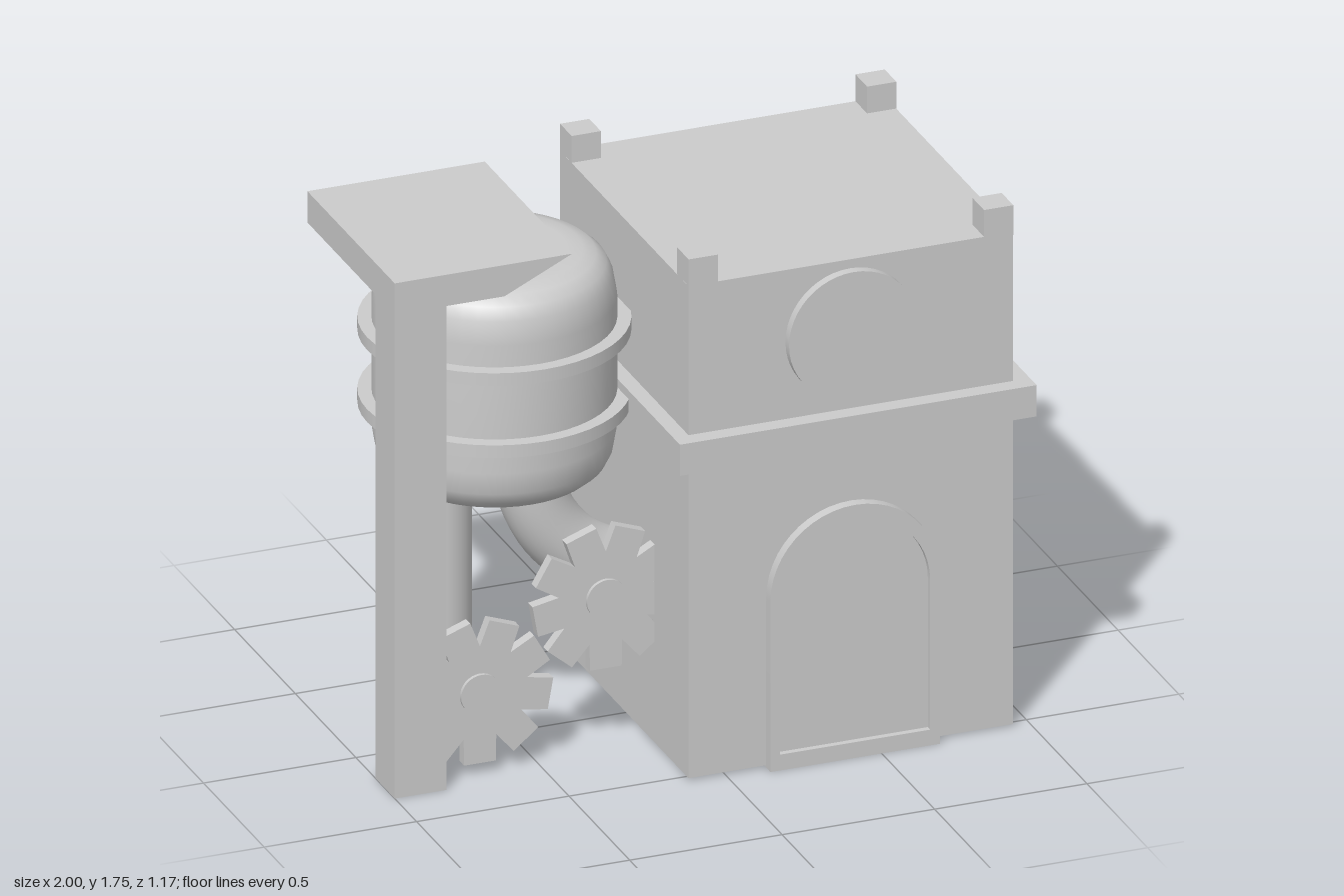
import * as THREE from 'three';
import { toCreasedNormals } from 'three/addons/utils/BufferGeometryUtils.js';

export function createModel() {
  const model = new THREE.Group();
  model.name = 'boilerTower';
  const grey = new THREE.MeshStandardMaterial({ color: 0xcccccc });
  grey.name = 'plainGrey';

  const add = (name, geometry, x = 0, y = 0, z = 0, parent = model) => {
    const mesh = new THREE.Mesh(geometry, grey);
    mesh.name = name;
    mesh.position.set(x, y, z);
    parent.add(mesh);
    return mesh;
  };
  // Box given by its minimum and maximum corners
  const box = (name, [x0, y0, z0], [x1, y1, z1]) =>
    add(name, new THREE.BoxGeometry(x1 - x0, y1 - y0, z1 - z0), (x0 + x1) / 2, (y0 + y1) / 2, (z0 + z1) / 2);
  const extrude = (shape, depth) =>
    toCreasedNormals(new THREE.ExtrudeGeometry(shape, { depth, bevelEnabled: false, curveSegments: 12 }), 0.6);
  const polygon = (points) => new THREE.Shape(points.map(([x, y]) => new THREE.Vector2(x, y)));

  // Tower with its band and corner blocks
  const cx = 0.413;
  box('towerBody', [-0.12, 0.008, -0.53], [0.945, 1.66, 0.53]);
  box('towerBand', [-0.17, 1.055, -0.585], [1, 1.16, 0.585]);
  for (const sx of [-1, 1]) for (const sz of [-1, 1]) {
    add('cornerBlock', new THREE.BoxGeometry(0.096, 0.1, 0.096), cx + sx * 0.4845, 1.7, sz * 0.482);
  }

  // Round plate above the door
  add('roundPlate', new THREE.CylinderGeometry(0.212, 0.212, 0.06, 48).rotateX(Math.PI / 2), 0.41, 1.418, 0.53);

  // Arched door: raised frame around a recessed panel
  const arch = (Type, half, bottom, spring) => {
    const s = new Type();
    s.moveTo(-half, bottom);
    s.lineTo(half, bottom);
    s.lineTo(half, spring);
    s.absarc(0, spring, half, 0, Math.PI, false);
    s.lineTo(-half, bottom);
    return s;
  };
  const frame = arch(THREE.Shape, 0.278, 0, 0.572);
  frame.holes.push(arch(THREE.Path, 0.246, 0.053, 0.555));
  add('doorFrame', extrude(frame, 0.135), cx, 0, 0.43);
  add('doorPanel', extrude(arch(THREE.Shape, 0.25, 0.002, 0.56), 0.115), cx, 0, 0.43);

  // Boiler, axis shared by its hoops and the lower pipe
  const bx = -0.52, bz = -0.065;
  const rim = [[0.22, 0], [0.27, 0.006], [0.31, 0.018], [0.342, 0.045], [0.362, 0.085], [0.375, 0.16]];
  const profile = [
    [0, 0.855], ...rim.map(([r, d]) => [r, 0.855 + d]),
    ...rim.slice().reverse().map(([r, d]) => [r, 1.605 - d]), [0, 1.605],
  ].map(([r, y]) => new THREE.Vector2(r, y));
  add('boilerTank', new THREE.LatheGeometry(profile, 48), bx, 0, bz);
  for (const y of [1.11, 1.352]) {
    add('boilerHoop', new THREE.CylinderGeometry(0.418, 0.418, 0.043, 48), bx, y, bz);
  }

  // Pipes: a straight leg and an elbow into the tower wall
  add('standPipe', new THREE.CylinderGeometry(0.11, 0.11, 0.9, 32), -0.71, 0.45, -0.07);
  add('elbowPipe', new THREE.TorusGeometry(0.41, 0.108, 24, 20, Math.PI / 2).rotateZ(Math.PI), 0, 0.87, bz);

  // Post and overhanging roof with a chamfered tip
  box('roofPost', [-1, 0, 0.16], [-0.83, 1.63, 0.32]);
  add('roofSlab', extrude(polygon([[-1, 1.625], [-0.64, 1.625], [-0.418, 1.73], [-1, 1.73]]), 0.72), 0, 0, -0.4);

  // Nine-toothed gears
  const gearPoints = [];
  for (let i = 0; i < 9; i++) {
    const a = -Math.PI / 2 + (i * Math.PI * 2) / 9;
    const c = Math.cos(a), s = Math.sin(a), half = 0.052, tip = 0.235, root = 0.157;
    gearPoints.push([c * tip + s * half, s * tip - c * half], [c * tip - s * half, s * tip + c * half]);
    const n = a + Math.PI / 9;
    gearPoints.push([Math.cos(n) * root, Math.sin(n) * root]);
  }
  for (const [name, x, y] of [['lowerGear', -0.693, 0.272], ['upperGear', -0.28, 0.52]]) {
    const gear = new THREE.Group();
    gear.name = name;
    gear.position.set(x, y, 0.215);
    add('gearWheel', extrude(polygon(gearPoints), 0.036), 0, 0, 0, gear);
    add('gearHub', new THREE.CylinderGeometry(0.066, 0.066, 0.06, 32).rotateX(Math.PI / 2), 0, 0, 0.018, gear);
    model.add(gear);
  }

  return model;
}
